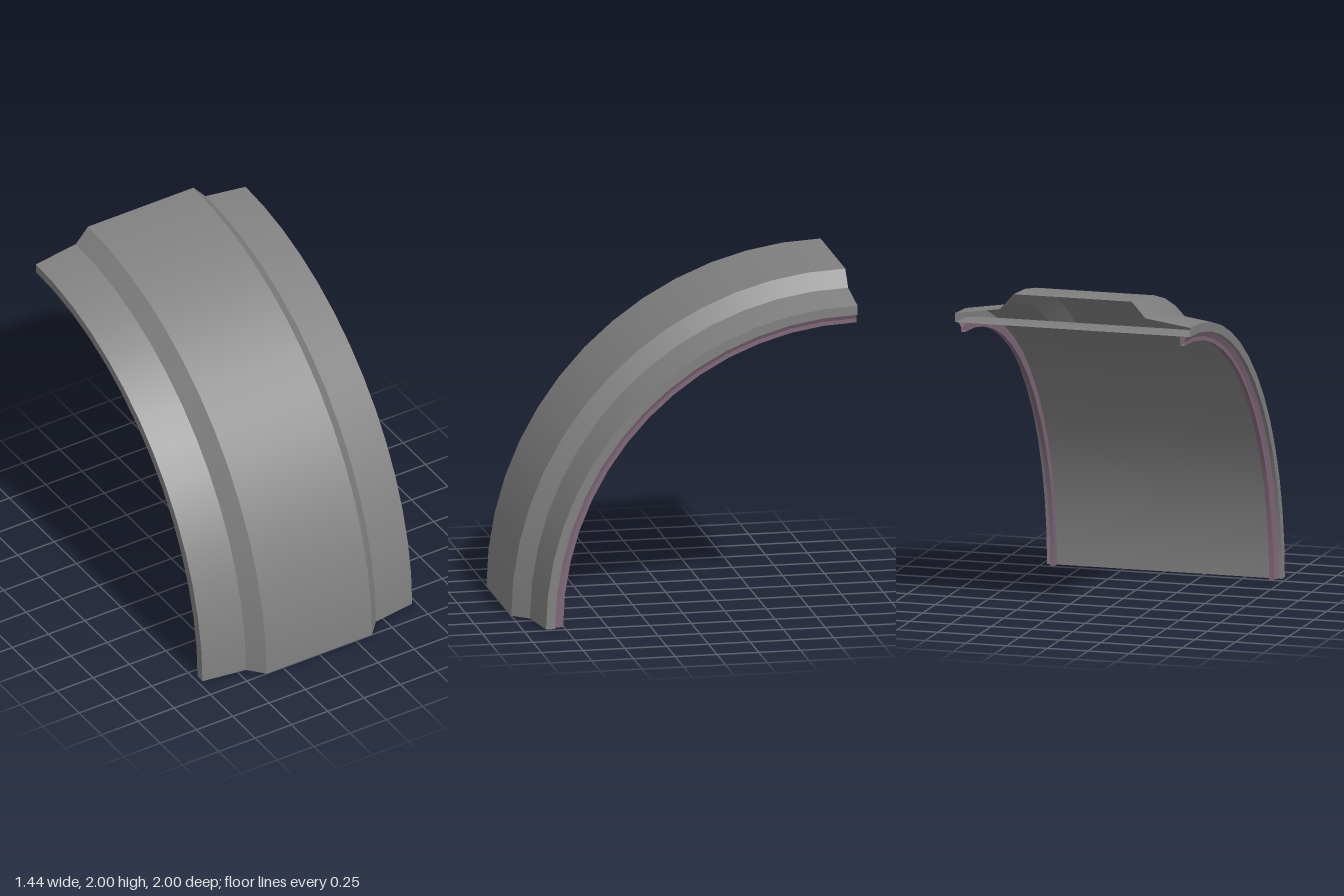
import * as THREE from 'three';
import { mergeGeometries } from 'three/addons/utils/BufferGeometryUtils.js';

const SEGMENTS = 14;

// Sweeps a profile of [x, radius] points through a quarter turn about the x axis.
// Each profile edge is its own strip: smooth along the arc, sharp across it.
function sweep(profile) {
  const strips = [];
  for (let i = 0; i < profile.length - 1; i++) {
    const points = [profile[i], profile[i + 1]].map(([x, r]) => new THREE.Vector2(r, x));
    strips.push(new THREE.LatheGeometry(points, SEGMENTS, -Math.PI / 2, Math.PI / 2));
  }
  const geometry = mergeGeometries(strips);
  geometry.rotateZ(-Math.PI / 2);
  geometry.translate(0, 0, -1);
  return geometry;
}

export function createModel() {
  const group = new THREE.Group();
  const grey = new THREE.MeshStandardMaterial({ color: 0x808080, side: THREE.DoubleSide });
  grey.name = 'shellGrey';
  const mauve = new THREE.MeshStandardMaterial({ color: 0x7f6878, side: THREE.DoubleSide });
  mauve.name = 'trimMauve';

  const add = (name, profile, material) => {
    const mesh = new THREE.Mesh(sweep(profile), material);
    mesh.name = name;
    group.add(mesh);
  };

  // Outer skin with the raised centre band
  add('outerShell', [
    [-0.722, 1.865], [-0.447, 1.905], [-0.363, 2],
    [0.363, 2], [0.447, 1.905], [0.722, 1.865],
  ], grey);

  // Flat inner skin; the ends between the skins stay open
  add('innerShell', [[0.722, 1.81], [-0.722, 1.81]], grey);

  // Side walls joining the skins
  add('leftEdge', [[0.722, 1.865], [0.722, 1.81]], grey);
  add('rightEdge', [[-0.722, 1.81], [-0.722, 1.865]], grey);

  // Slim trim rails under both edges
  const rail = [[0.70, 1.81], [0.685, 1.78], [0.685, 1.755], [0.66, 1.755], [0.66, 1.81]];
  add('leftRail', rail, mauve);
  add('rightRail', rail.map(([x, r]) => [-x, r]).reverse(), mauve);

  return group;
}
